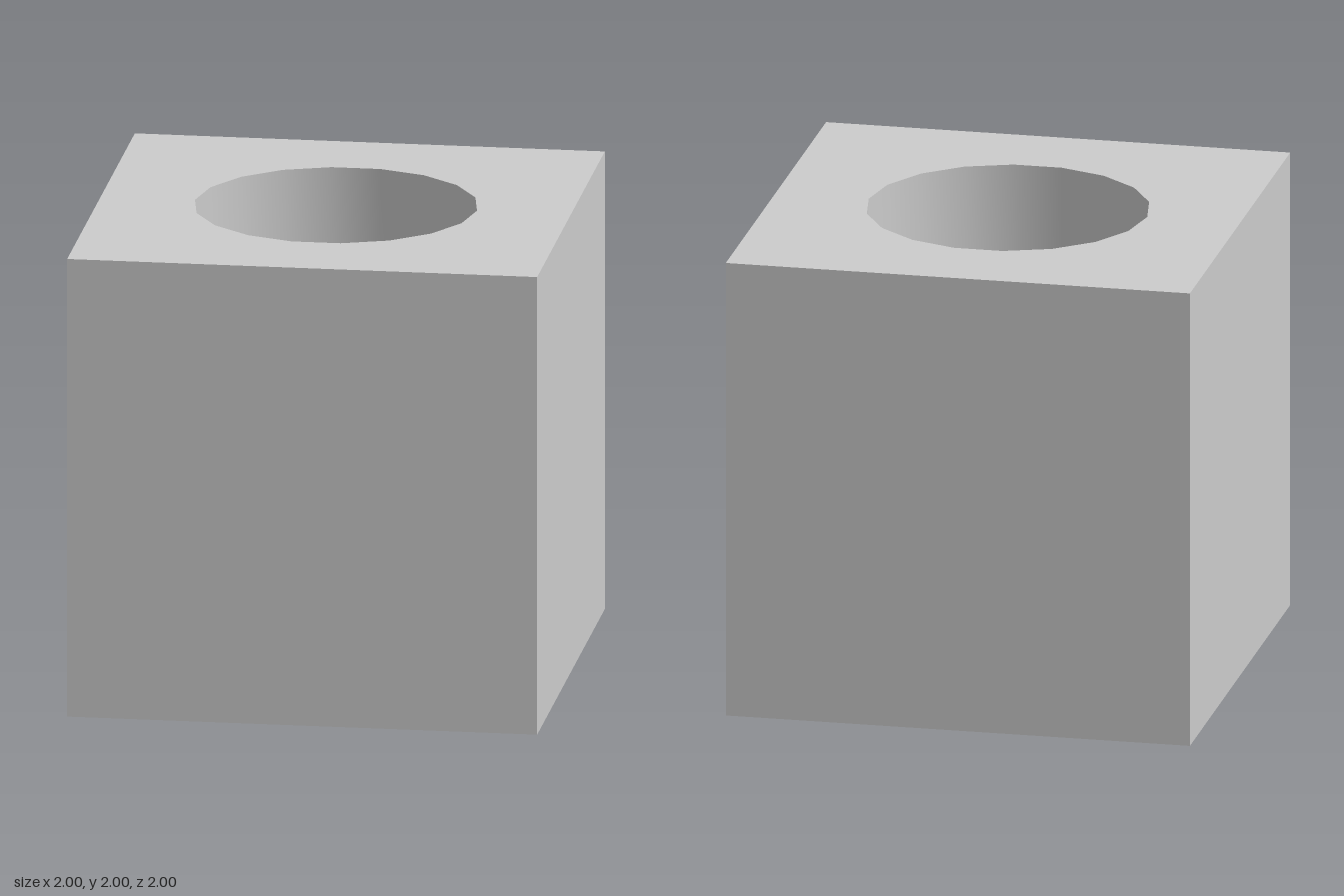
import * as THREE from 'three';
import { toCreasedNormals } from 'three/addons/utils/BufferGeometryUtils.js';

const SIZE = 2;
const HOLE_RADIUS = 0.6;
const HOLE_SIDES = 18;

export function createModel() {
  const group = new THREE.Group();
  group.name = 'boredCube';

  // Square outline
  const h = SIZE / 2;
  const outline = new THREE.Shape([
    new THREE.Vector2(-h, -h),
    new THREE.Vector2(h, -h),
    new THREE.Vector2(h, h),
    new THREE.Vector2(-h, h),
  ]);

  // Round through hole, wound opposite to the outline
  const rim = [];
  for (let i = 0; i < HOLE_SIDES; i++) {
    const a = (-i / HOLE_SIDES) * Math.PI * 2;
    rim.push(new THREE.Vector2(Math.cos(a) * HOLE_RADIUS, Math.sin(a) * HOLE_RADIUS));
  }
  outline.holes.push(new THREE.Path(rim));

  // Extrude upward; the bore wall is smooth, all other edges stay sharp
  const block = new THREE.ExtrudeGeometry(outline, { depth: SIZE, bevelEnabled: false });
  block.rotateX(-Math.PI / 2);

  const mesh = new THREE.Mesh(
    toCreasedNormals(block, THREE.MathUtils.degToRad(30)),
    new THREE.MeshStandardMaterial({ color: 0xcccccc }),
  );
  mesh.name = 'cubeWithHole';
  group.add(mesh);
  return group;
}
